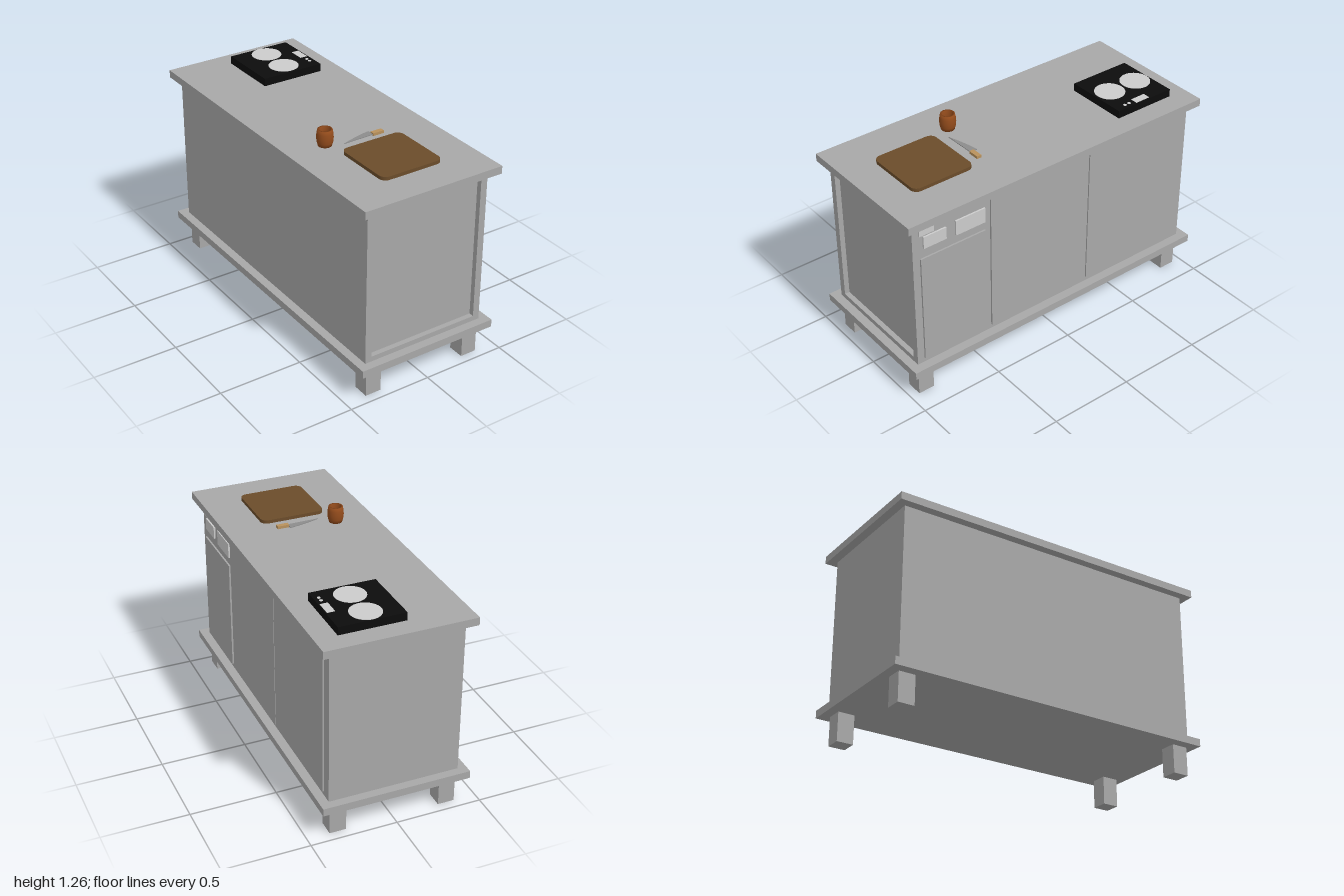
import * as THREE from 'three';

const mat = (color, side = THREE.FrontSide) => new THREE.MeshStandardMaterial({ color, side });
const GREY = mat(0xa8a8a8), PALE = mat(0xcccccc), BLACK = mat(0x0c0c0c);
const BOARD = mat(0x6b4c2a), CLAY = mat(0x944c1c, THREE.DoubleSide);
const STEEL = mat(0x8c8c8c), HANDLE = mat(0xb8915c);

export function createModel() {
  const model = new THREE.Group();
  const add = (parent, name, geometry, material) => {
    const mesh = new THREE.Mesh(geometry, material);
    mesh.name = name;
    parent.add(mesh);
    return mesh;
  };
  // Box given by its extents on each axis
  const box = (parent, name, [x0, x1], [y0, y1], [z0, z1], material = GREY) => {
    const mesh = add(parent, name, new THREE.BoxGeometry(x1 - x0, y1 - y0, z1 - z0), material);
    mesh.position.set((x0 + x1) / 2, (y0 + y1) / 2, (z0 + z1) / 2);
    return mesh;
  };
  const disc = (parent, name, r, h, x, y, z, material) =>
    add(parent, name, new THREE.CylinderGeometry(r, r, h, 40), material).position.set(x, y + h / 2, z);
  // Flat slab cut from an outline drawn in x and -z
  const slab = (shape, depth) =>
    new THREE.ExtrudeGeometry(shape, { depth, bevelEnabled: false, curveSegments: 8 }).rotateX(-Math.PI / 2);
  const group = (name) => {
    const g = new THREE.Group();
    g.name = name;
    model.add(g);
    return g;
  };

  // Worktop, plinth and legs
  box(model, 'worktop', [-0.43, 0.43], [1.125, 1.17], [-1, 1]);
  box(model, 'plinth', [-0.43, 0.43], [0.17, 0.215], [-1, 1]);
  for (const x of [-0.322, 0.322])
    for (const z of [-0.895, 0.897])
      box(model, 'leg', [x - 0.048, x + 0.048], [0, 0.17], [z - 0.049, z + 0.049]);

  // Cabinet with a framed, recessed front end
  const cabinet = group('cabinet');
  box(cabinet, 'cabinetBody', [-0.38, 0.378], [0.215, 1.125], [-0.95, 0.92]);
  const frame = new THREE.Shape([[-0.38, 0.215], [0.378, 0.215], [0.378, 1.125], [-0.38, 1.125]]
    .map(p => new THREE.Vector2(...p)));
  frame.holes.push(new THREE.Path([[-0.34, 0.245], [-0.34, 1.095], [0.338, 1.095], [0.338, 0.245]]
    .map(p => new THREE.Vector2(...p))));
  add(cabinet, 'frontFrame', new THREE.ExtrudeGeometry(frame, { depth: 0.03, bevelEnabled: false }), GREY)
    .position.z = 0.92;

  // Doors and control panels on the long side
  const face = [0.37, 0.388];
  box(cabinet, 'smallDoor', face, [0.243, 0.908], [0.492, 0.906]);
  box(cabinet, 'largeDoor', face, [0.243, 1.1], [-0.215, 0.456]);
  box(cabinet, 'largeDoor', face, [0.243, 1.1], [-0.889, -0.222]);
  box(cabinet, 'controlPanel', face, [1.054, 1.09], [0.818, 0.91], PALE);
  box(cabinet, 'controlPanel', face, [0.968, 1.04], [0.742, 0.885], PALE);
  box(cabinet, 'controlPanel', face, [0.96, 1.05], [0.492, 0.682], PALE);

  // Hob with two rings, display and buttons
  const hob = group('hob');
  box(hob, 'hobBase', [-0.08, 0.302], [1.17, 1.216], [-0.882, -0.5], BLACK);
  for (const z of [-0.79, -0.6]) disc(hob, 'cookingRing', 0.088, 0.002, 0.11, 1.216, z, PALE);
  box(hob, 'display', [0.25, 0.295], [1.214, 1.218], [-0.73, -0.635], PALE);
  for (const z of [-0.6, -0.57]) disc(hob, 'button', 0.01, 0.002, 0.272, 1.216, z, PALE);

  // Chopping board with rounded corners
  const s = 0.19, r = 0.04, outline = new THREE.Shape();
  [[s - r, -s + r, -Math.PI / 2], [s - r, s - r, 0], [-s + r, s - r, Math.PI / 2], [-s + r, -s + r, Math.PI]]
    .forEach(([x, y, a]) => outline.absarc(x, y, r, a, a + Math.PI / 2));
  add(model, 'choppingBoard', slab(outline, 0.02), BOARD).position.set(0.01, 1.17, 0.61);

  // Barrel-shaped cup, open at the top
  const cup = group('cup');
  cup.position.set(-0.2, 1.17, 0.3);
  const profile = [[0, 0], [0.038, 0], [0.044, 0.022], [0.047, 0.048], [0.045, 0.074], [0.041, 0.095],
    [0.031, 0.095], [0.034, 0.06], [0.031, 0.012]].map(p => new THREE.Vector2(...p));
  add(cup, 'cupWall', new THREE.LatheGeometry(profile, 32), CLAY);
  disc(cup, 'cupFloor', 0.031, 0.004, 0, 0.01, 0, PALE);

  // Knife
  const knife = group('knife');
  const blade = new THREE.Shape();
  blade.moveTo(-0.115, -0.356);
  blade.lineTo(0.075, -0.352);
  blade.lineTo(0.075, -0.308);
  blade.quadraticCurveTo(-0.01, -0.32, -0.115, -0.356);
  add(knife, 'blade', slab(blade, 0.004), STEEL).position.y = 1.175;
  box(knife, 'knifeHandle', [0.073, 0.142], [1.17, 1.186], [0.33, 0.358], HANDLE);

  return model;
}
